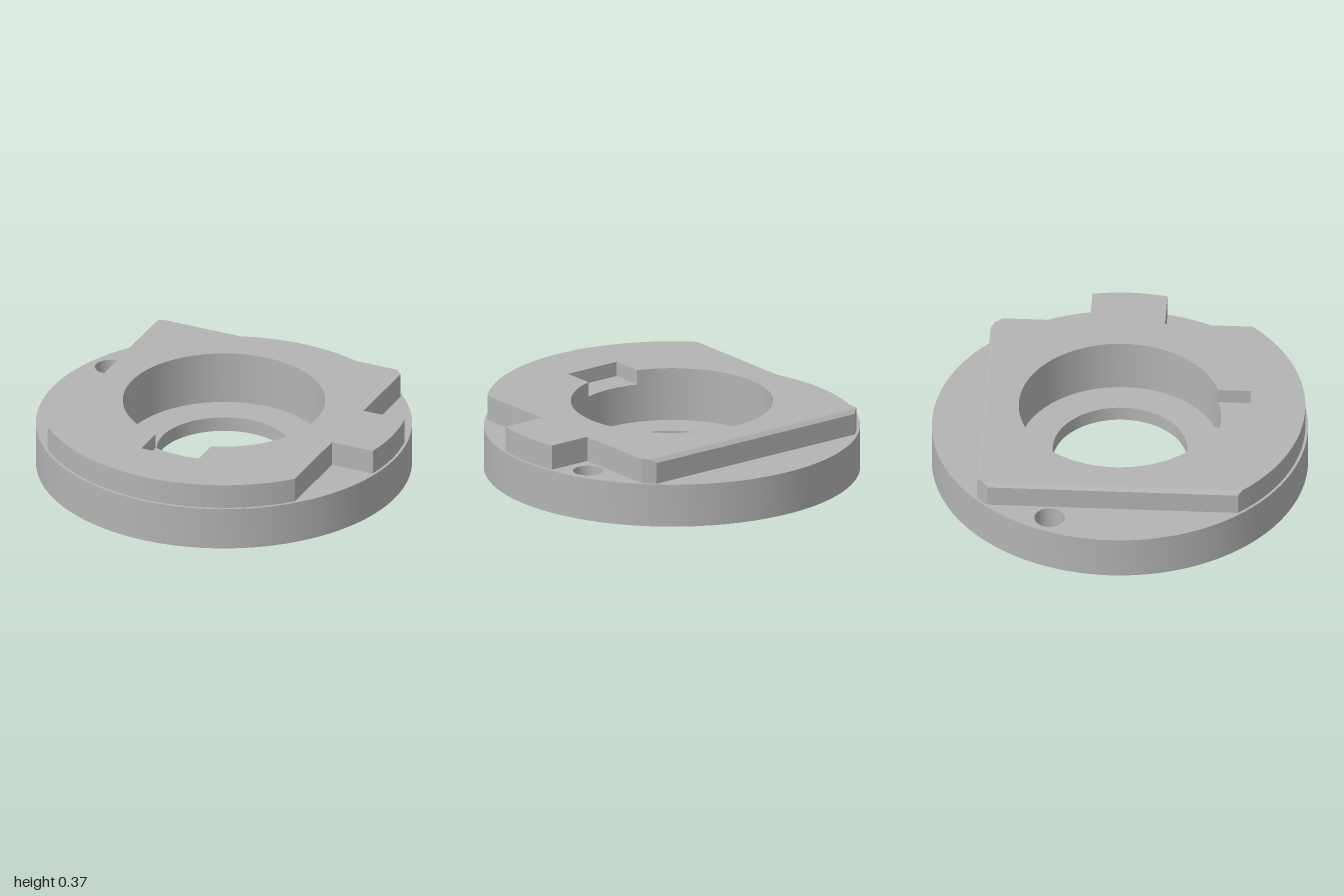
import * as THREE from 'three';
import { toCreasedNormals } from 'three/addons/utils/BufferGeometryUtils.js';

const R = 0.985;          // outer radius of the raised plate
const C = 0.725;          // distance of the flat sides from the centre
const L = 0.705;          // flat sides after the top chamfer
const BORE = 0.538, HOLE = 0.358;
const Y = { floor: 0.08, base: 0.235, notch: 0.29, chamfer: 0.35, top: 0.37 };

const circle = (Type, x, z, r) => new Type().absarc(x, z, r, 0, Math.PI * 2, false);

// Raised plate outline: a disc cut flat on three sides, with a tab on the left
function plateShape(hole) {
  const a = Math.acos(C / R), t = Math.asin(0.2 / R), P = Math.PI;
  const s = new THREE.Shape();
  s.moveTo(C, 0.2);
  s.absarc(0, 0, R, a, P - a, false);
  s.absarc(0, 0, R, P + a, 1.5 * P - a, false);
  s.absarc(0, 0, R, -P / 2 + a, -a, false);
  s.lineTo(C, -0.2);
  s.absarc(0, 0, R, -t, t, false);
  s.lineTo(C, 0.2);
  s.holes.push(hole);
  return s;
}

// Bore with a rectangular keyway towards the front
function notchedBore() {
  const w = 0.163, b = Math.asin(w / BORE), q = Math.PI / 2;
  const p = new THREE.Path();
  p.absarc(0, 0, BORE, q + b, q - b + Math.PI * 2, false);
  p.lineTo(w, 0.69);
  p.lineTo(-w, 0.69);
  p.closePath();
  return p;
}

// Extrudes a plan drawn in x and z between two heights
function slab(shape, y0, y1) {
  const g = new THREE.ExtrudeGeometry(shape, { depth: y1 - y0, bevelEnabled: false, curveSegments: 64 });
  return g.rotateX(Math.PI / 2).translate(0, y1, 0);
}

// Pulls the top edge in on the back and right flats
function chamfer(g) {
  const p = g.attributes.position, q = Math.sqrt(R * R - L * L);
  for (let i = 0; i < p.count; i++) {
    if (p.getY(i) < Y.top - 0.001) continue;
    let x = p.getX(i), z = p.getZ(i);
    const onRim = Math.hypot(x, z) > R - 0.002;
    if (z < -L) {
      z = -L;
      if (onRim) x = Math.sign(x) * q;
    } else if (x < -L) {
      x = -L;
      if (onRim) z = Math.sign(z) * q;
    }
    p.setXYZ(i, x, p.getY(i), z);
  }
  return g;
}

export function createModel() {
  const group = new THREE.Group();
  const metal = new THREE.MeshStandardMaterial({ color: 0xb4b4b4 });
  metal.name = 'grey metal';

  const add = (name, geometry) => {
    const mesh = new THREE.Mesh(toCreasedNormals(geometry, 0.4), metal);
    mesh.name = name;
    group.add(mesh);
  };

  // Round base with two screw holes
  const base = circle(THREE.Shape, 0, 0, 1);
  base.holes.push(circle(THREE.Path, 0, 0, BORE));
  for (const side of [-1, 1]) base.holes.push(circle(THREE.Path, side * 0.82, -0.33, 0.081));
  add('baseDisc', slab(base, 0, Y.base));

  // Ledge at the bottom of the bore
  const ledge = circle(THREE.Shape, 0, 0, BORE);
  ledge.holes.push(circle(THREE.Path, 0, 0, HOLE));
  add('boreLedge', slab(ledge, 0, Y.floor));

  // Raised plate in layers: below the keyway, beside it, and the chamfered top
  add('plateLower', slab(plateShape(circle(THREE.Path, 0, 0, BORE)), Y.base, Y.notch));
  add('plateUpper', slab(plateShape(notchedBore()), Y.notch, Y.chamfer));
  add('plateChamferedTop', chamfer(slab(plateShape(notchedBore()), Y.chamfer, Y.top)));

  return group;
}
